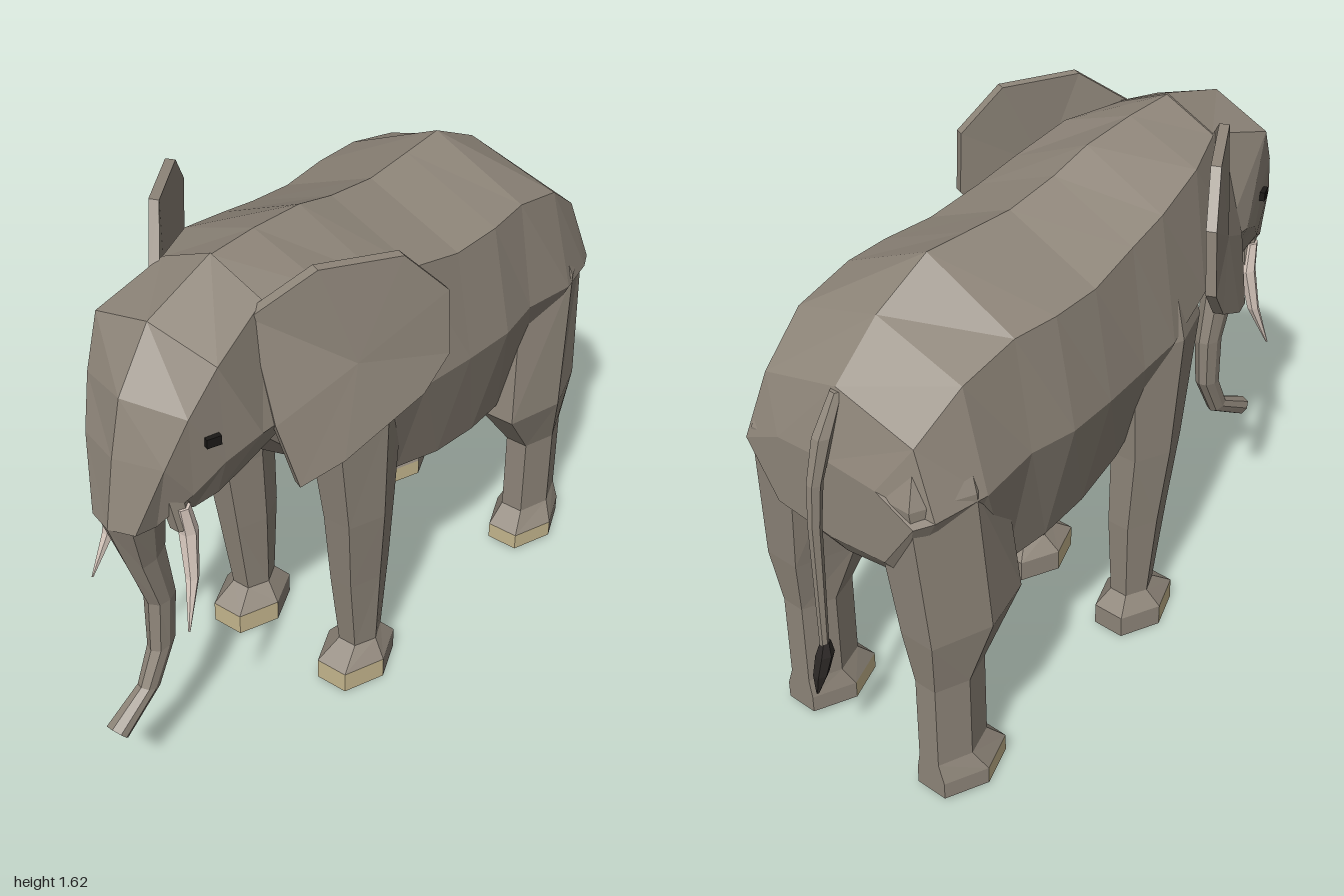
import * as THREE from 'three';

const mat = (name, color) => {
  const m = new THREE.MeshStandardMaterial({ color });
  m.name = name;
  return m;
};

// Skin over closed rings of [x, y, z] points with capped ends; faces are
// turned outward. paint(ring, side) picks the material group.
function loft(rings, paint = () => 0) {
  const tris = [[], []];
  const tri = (g, ...p) => tris[g].push(p);
  const n = rings[0].length;
  for (let r = 0; r < rings.length - 1; r++) {
    for (let s = 0; s < n; s++) {
      const t = (s + 1) % n, g = paint(r, s);
      const a = rings[r][s], b = rings[r][t], c = rings[r + 1][t], d = rings[r + 1][s];
      tri(g, a, b, c);
      tri(g, a, c, d);
    }
  }
  const centre = (ring) => [0, 1, 2].map((k) => ring.reduce((sum, p) => sum + p[k], 0) / n);
  const last = rings[rings.length - 1], c0 = centre(rings[0]), c1 = centre(last);
  for (let s = 0; s < n; s++) {
    const t = (s + 1) % n;
    tri(0, c0, rings[0][t], rings[0][s]);
    tri(0, c1, last[s], last[t]);
  }
  const volume = tris.flat().reduce((v, [a, b, c]) => v +
    a[0] * (b[1] * c[2] - b[2] * c[1]) - a[1] * (b[0] * c[2] - b[2] * c[0]) + a[2] * (b[0] * c[1] - b[1] * c[0]), 0);
  if (volume < 0) tris.flat().forEach((t) => t.reverse());
  const geo = new THREE.BufferGeometry();
  geo.setAttribute('position', new THREE.Float32BufferAttribute(tris.flat(3), 3));
  geo.addGroup(0, tris[0].length * 3, 0);
  geo.addGroup(tris[0].length * 3, tris[1].length * 3, 1);
  geo.computeVertexNormals();
  return geo;
}

// Completes a half ring (top centre, sides, bottom centre) by mirroring
const fullRing = (half) => [...half, ...half.slice(1, -1).reverse().map(([x, y, z]) => [-x, y, z])];

// Level six-sided ring, flat to the front
const hex = ([y, cx, cz, rx, rz]) => Array.from({ length: 6 }, (_, i) => {
  const a = (i * Math.PI) / 3;
  return [cx + rx * Math.cos(a), y, cz + (rz * Math.sin(a)) / 0.866];
});

const flip = (rings, side) => rings.map((ring) => ring.map(([x, y, z]) => [x * side, y, z]));

export function createModel() {
  const model = new THREE.Group();
  model.name = 'elephant';
  const skin = mat('skin grey', 0x8f867a);
  const nail = mat('toenail tan', 0xc6b78e);
  const ivory = mat('ivory', 0xdccdc2);
  const hair = mat('tail hair', 0x2b2725);
  const black = mat('eye black', 0x1b1917);
  const add = (name, geo, material) => {
    const mesh = new THREE.Mesh(geo, material);
    mesh.name = name;
    model.add(mesh);
    return mesh;
  };

  // Body: z, top y, upper x y, middle x y, lower x y, belly y
  const body = [
    [0.5, 1.595, 0.17, 1.52, 0.23, 1.25, 0.15, 1.09, 1.06],
    [0.33, 1.59, 0.24, 1.5, 0.29, 1.12, 0.19, 0.91, 0.86],
    [0.14, 1.57, 0.27, 1.445, 0.33, 1.06, 0.22, 0.77, 0.72],
    [0.0, 1.53, 0.28, 1.41, 0.335, 1.04, 0.24, 0.7, 0.65],
    [-0.18, 1.5, 0.3, 1.37, 0.36, 1.04, 0.26, 0.655, 0.6],
    [-0.35, 1.505, 0.31, 1.37, 0.375, 1.04, 0.27, 0.64, 0.588],
    [-0.5, 1.51, 0.3, 1.37, 0.355, 1.04, 0.26, 0.63, 0.578],
    [-0.69, 1.41, 0.295, 1.32, 0.373, 1.02, 0.24, 0.72, 0.68],
    [-0.845, 1.27, 0.27, 1.2, 0.335, 1.0, 0.22, 0.77, 0.74],
    [-0.9, 1.07, 0.18, 1.06, 0.31, 1.0, 0.2, 0.84, 0.82],
  ];
  add('body', loft(body.map(([z, t, ux, uy, mx, my, lx, ly, b]) =>
    fullRing([[0, t, z], [ux, uy, z], [mx, my, z], [lx, ly, z], [0, b, z]]))), skin);

  // Head: crown, brow, cheek, jaw and chin of each ring
  const head = [
    [[0, 1.6, 0.5], [0.167, 1.525, 0.5], [0.25, 1.2, 0.46], [0.16, 1.07, 0.45], [0, 1.06, 0.45]],
    [[0, 1.525, 0.745], [0.203, 1.46, 0.72], [0.24, 1.2, 0.6], [0.16, 1.04, 0.59], [0, 1.03, 0.59]],
    [[0, 1.36, 0.865], [0.17, 1.33, 0.8], [0.2, 1.15, 0.7], [0.14, 1.0, 0.67], [0, 0.99, 0.67]],
    [[0, 1.195, 0.907], [0.135, 1.19, 0.86], [0.155, 1.07, 0.78], [0.11, 0.975, 0.73], [0, 0.97, 0.73]],
    [[0, 0.985, 0.945], [0.075, 0.985, 0.92], [0.085, 0.975, 0.85], [0.06, 0.96, 0.78], [0, 0.96, 0.765]],
  ];
  add('head', loft(head.map(fullRing)), skin);

  // Trunk: front y z, back y z, half width
  const trunk = [
    [0.985, 0.945, 0.96, 0.76, 0.078], [0.81, 0.885, 0.83, 0.755, 0.046], [0.63, 0.82, 0.635, 0.725, 0.038],
    [0.455, 0.825, 0.47, 0.735, 0.032], [0.35, 0.875, 0.325, 0.81, 0.027], [0.285, 1.0, 0.235, 0.96, 0.034],
  ];
  add('trunk', loft(trunk.map(([fy, fz, by, bz, w]) => {
    const at = (x, t) => [x, fy + (by - fy) * t, fz + (bz - fz) * t];
    return fullRing([at(0, 0), at(w * 0.8, 0.15), at(w, 0.5), at(w * 0.7, 0.88), at(0, 1)]);
  })), skin);

  // Tail and its tuft
  const tailRing = ([y, z, r]) => hex([y, 0, z, r, r]);
  add('tail', loft([[1.26, -0.84, 0.018], [1.15, -0.9, 0.027], [1.02, -0.94, 0.021],
    [0.89, -0.952, 0.018], [0.47, -0.957, 0.012]].map(tailRing)), skin);
  add('tailTuft', loft([[0.49, -0.953, 0.014], [0.45, -0.958, 0.025], [0.39, -0.978, 0.021],
    [0.33, -0.996, 0.004]].map(tailRing)), hair);

  // Leg rings: y, centre x, centre z, half width, half depth
  const legs = {
    front: [[1.2, 0.2, 0.18, 0.1, 0.13], [1.05, 0.22, 0.178, 0.115, 0.15], [0.66, 0.225, 0.16, 0.09, 0.11],
      [0.4, 0.215, 0.142, 0.075, 0.094], [0.125, 0.21, 0.13, 0.06, 0.066]],
    hind: [[1.2, 0.2, -0.7, 0.1, 0.12], [1.04, 0.22, -0.722, 0.145, 0.172], [0.58, 0.262, -0.685, 0.113, 0.178],
      [0.4, 0.262, -0.74, 0.073, 0.1], [0.125, 0.262, -0.74, 0.073, 0.1]],
  };
  const feet = {
    front: [[0.125, 0.21, 0.13, 0.06, 0.066], [0.07, 0.207, 0.145, 0.104, 0.125], [0, 0.207, 0.145, 0.104, 0.125]],
    hind: [[0.125, 0.262, -0.74, 0.073, 0.1], [0.065, 0.267, -0.712, 0.103, 0.128], [0.01, 0.267, -0.712, 0.103, 0.128]],
  };

  // Ear outline, from the top root round the back to the front edge
  const ear = [[0.167, 1.5, 0.555], [0.28, 1.617, 0.42], [0.4, 1.605, 0.22], [0.47, 1.475, 0.115], [0.48, 1.28, 0.115],
    [0.455, 1.18, 0.19], [0.36, 1.045, 0.41], [0.3, 1.0, 0.525], [0.25, 1.2, 0.56]];
  const earBack = ear.map(([x, y, z]) => [x - 0.027, y, z - 0.012]);

  // Paired parts
  for (const side of [1, -1]) {
    const label = side > 0 ? 'left' : 'right';
    for (const end of ['front', 'hind']) {
      const cap = end[0].toUpperCase() + end.slice(1);
      add(`${label}${cap}Leg`, loft(flip(legs[end].map(hex), side)), skin);
      add(`${label}${cap}Foot`, loft(flip(feet[end].map(hex), side), (r, s) => (r === 1 && s < 3 ? 1 : 0)), [skin, nail]);
    }
    add(`${label}Ear`, loft(flip([ear, earBack], side)), skin);
    add(`${label}TuskSocket`, loft(flip([[1.07, 0.1, 0.8, 0.035, 0.035], [0.96, 0.118, 0.79, 0.03, 0.03]].map(hex), side)), skin);
    add(`${label}Tusk`, loft(flip([[1.03, 0.128, 0.795, 0.02, 0.02], [0.94, 0.13, 0.78, 0.026, 0.025],
      [0.8, 0.15, 0.797, 0.018, 0.018], [0.655, 0.176, 0.85, 0.003, 0.003]].map(hex), side)), ivory);
    const eye = add(`${label}Eye`, new THREE.BoxGeometry(0.02, 0.028, 0.042), black);
    eye.position.set(side * 0.194, 1.243, 0.74);
    eye.rotation.y = -side * 0.4;
  }
  return model;
}
